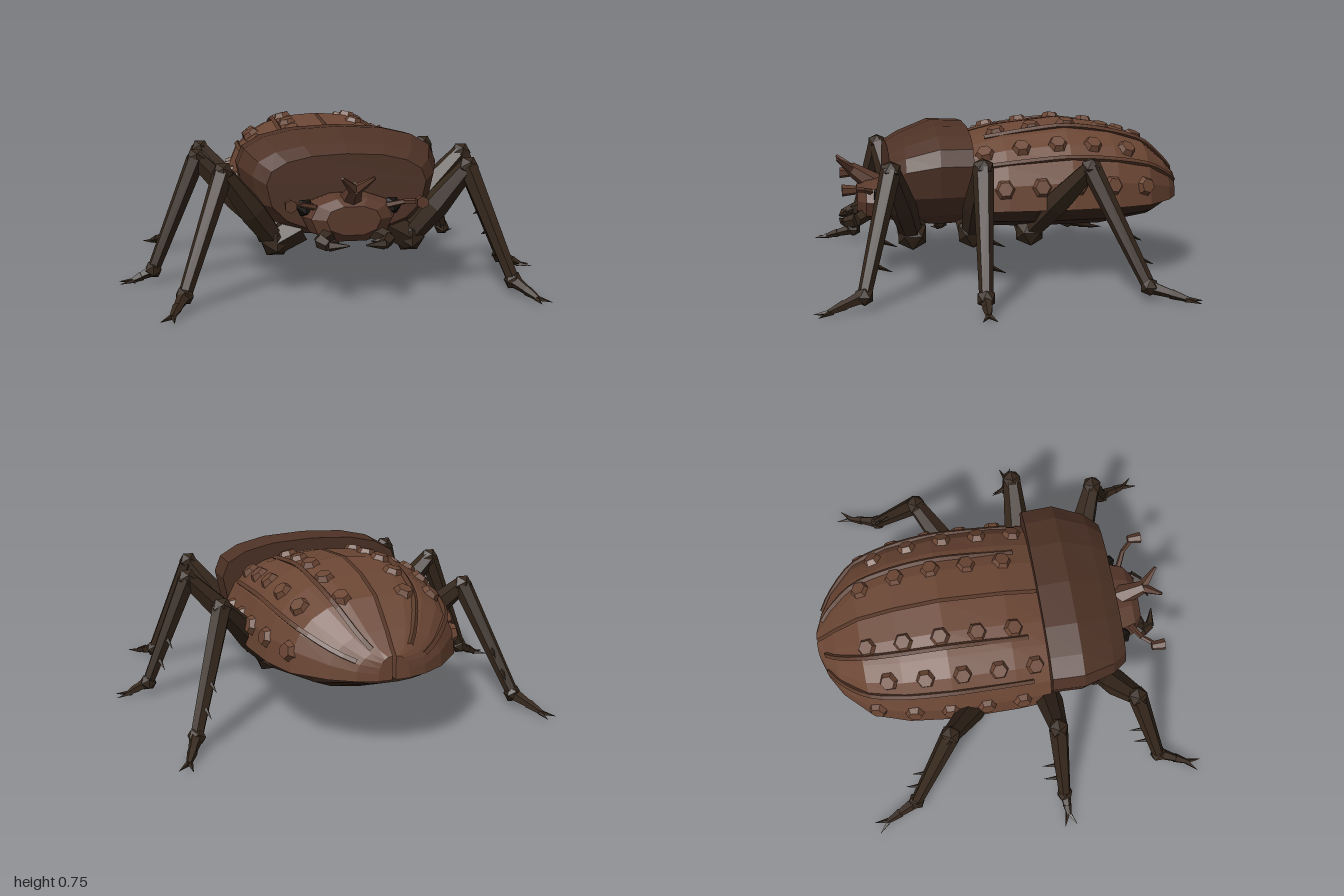
import * as THREE from 'three';

const V = (x, y, z) => new THREE.Vector3(x, y, z);
const mat = (color) => new THREE.MeshStandardMaterial({ color, flatShading: true, roughness: 0.8 });
const shellMat = mat(0x6b4634), ridgeMat = mat(0x5a3a2a), shieldMat = mat(0x4e3226);
const headMat = mat(0x5a3a2c), legMat = mat(0x35271c), bellyMat = mat(0x35231a), eyeMat = mat(0x15110f);

function add(parent, name, geometry, material) {
  const m = new THREE.Mesh(geometry, material);
  m.name = name;
  parent.add(m);
  return m;
}

// Closed solid through rings of points (counter-clockwise from the front, ordered front to back)
function loft(rings) {
  const n = rings[0].length, pos = rings.flat().flatMap((p) => [p.x, p.y, p.z]), idx = [];
  const last = (rings.length - 1) * n;
  for (let i = 0; i < rings.length - 1; i++) {
    for (let j = 0; j < n; j++) {
      const a = i * n + j, b = i * n + (j + 1) % n;
      idx.push(a, a + n, b, b, a + n, b + n);
    }
  }
  for (let j = 1; j < n - 1; j++) idx.push(0, j, j + 1, last, last + j + 1, last + j);
  let g = new THREE.BufferGeometry();
  g.setAttribute('position', new THREE.Float32BufferAttribute(pos, 3));
  g.setIndex(idx);
  g = g.toNonIndexed();
  g.computeVertexNormals();
  return g;
}

// Rounded ring: half width, top, bottom and height of the widest line
function ring([z, hw, top, bottom, mid], n, p = 0.85) {
  return Array.from({ length: n }, (_, i) => {
    const a = (i / n) * Math.PI * 2, c = Math.cos(a), s = Math.sin(a);
    const h = s > 0 ? top - mid : mid - bottom;
    return V(hw * Math.sign(c) * Math.abs(c) ** p, mid + h * Math.sign(s) * Math.abs(s) ** p, z);
  });
}

// Tapered bar between two points
function bar(parent, name, a, b, r0, r1, material, sides = 6) {
  const d = b.clone().sub(a);
  const m = add(parent, name, new THREE.CylinderGeometry(r1, r0, d.length(), sides), material);
  m.position.copy(a).addScaledVector(d, 0.5);
  m.quaternion.setFromUnitVectors(V(0, 1, 0), d.normalize());
  return m;
}

function knob(parent, name, p, r, material) {
  const m = add(parent, name, new THREE.IcosahedronGeometry(r, 0), material);
  m.position.copy(p);
  return m;
}

// Wing case stations: z, half width, top
const stations = [[0.18, 0.455, 0.665], [0.02, 0.465, 0.705], [-0.28, 0.465, 0.738], [-0.5, 0.44, 0.71],
  [-0.67, 0.385, 0.655], [-0.8, 0.26, 0.545], [-0.86, 0.16, 0.48], [-0.89, 0.07, 0.455]];

// Point on a wing case at angle t from the seam
function shellPoint(s, t, z) {
  let i = 0;
  while (i < stations.length - 2 && z < stations[i + 1][0]) i++;
  const [z0, w0, h0] = stations[i], [z1, w1, h1] = stations[i + 1], k = (z - z0) / (z1 - z0);
  const w = w0 + (w1 - w0) * k, h = h0 + (h1 - h0) * k - 0.35;
  return V(s * (0.008 + (w - 0.008) * Math.max(0, Math.sin(t)) ** 0.85),
    0.35 + h * Math.max(0, Math.cos(t)) ** 0.85, z);
}

function wingCase(s) {
  const g = new THREE.Group();
  g.name = s > 0 ? 'leftWingCase' : 'rightWingCase';
  const rings = stations.map(([z]) => {
    const r = [V(s * 0.008, 0.35, z)];
    for (let j = 6; j >= 0; j--) r.push(shellPoint(s, (j / 6) * Math.PI / 2, z));
    return s > 0 ? r : r.reverse();
  });
  add(g, 'shell', loft(rings), shellMat);
  // Lengthwise ridges
  for (const t of [0.414, 0.995]) {
    const path = new THREE.CatmullRomCurve3([0.1, -0.1, -0.28, -0.5, -0.67, -0.8, -0.85].map((z) => shellPoint(s, t, z)));
    add(g, 'ridge', new THREE.TubeGeometry(path, 18, 0.014, 4), ridgeMat);
  }
  // Three rows of six-sided bumps
  [[0.3, 0.04], [0.763, 0.115], [1.34, 0.04]].forEach(([t, z0]) => {
    for (let i = 0; i < 5; i++) {
      const z = z0 - i * 0.17, p = shellPoint(s, t, z);
      const along = shellPoint(s, t, z - 0.03).sub(shellPoint(s, t, z + 0.03));
      const across = shellPoint(s, t + 0.05, z).sub(shellPoint(s, t - 0.05, z));
      const normal = across.cross(along).multiplyScalar(-s).normalize();
      if (normal.dot(V(p.x, p.y - 0.35, 0)) < 0) normal.negate();
      const a = p.clone().addScaledVector(normal, -0.015), b = p.clone().addScaledVector(normal, 0.02);
      bar(g, 'bump', a, b, 0.052, 0.034, shellMat);
    }
  });
  return g;
}

// Leg layout: coxa z, knee, ankle, toe
const legs = {
  front: [0.45, [0.55, 0.56, 0.56], [0.73, 0.06, 0.69], [0.79, 0.012, 0.84]],
  middle: [0.17, [0.64, 0.575, 0.17], [0.85, 0.06, 0.19], [0.95, 0.012, 0.195]],
  rear: [-0.1, [0.59, 0.56, -0.32], [0.77, 0.06, -0.54], [0.84, 0.012, -0.7]],
};

function leg(s, name) {
  const [z, k, a, t] = legs[name];
  const g = new THREE.Group();
  g.name = (s > 0 ? 'left' : 'right') + name[0].toUpperCase() + name.slice(1) + 'Leg';
  const at = (p) => V(s * p[0], p[1], p[2]);
  const knee = at(k), ankle = at(a), toe = at(t), hip = V(s * 0.31, 0.23, z);
  bar(g, 'coxa', V(s * 0.2, 0.29, z), hip, 0.07, 0.065, legMat);
  knob(g, 'hip', hip, 0.075, legMat);
  const mid = hip.clone().lerp(knee, 0.45);
  bar(g, 'thigh', hip, mid, 0.05, 0.064, legMat);
  bar(g, 'thigh', mid, knee, 0.064, 0.042, legMat);
  knob(g, 'knee', knee, 0.05, legMat);
  bar(g, 'shin', knee, ankle, 0.046, 0.03, legMat);
  knob(g, 'ankle', ankle, 0.043, legMat);
  // Spines behind the shin
  for (const f of [0.55, 0.75]) {
    const p = knee.clone().lerp(ankle, f);
    bar(g, 'spine', p, p.clone().add(V(-s * 0.015, -0.04, -0.09)), 0.016, 0.001, legMat, 4);
  }
  // Foot and two claws
  const joint = ankle.clone().lerp(toe, 0.55);
  bar(g, 'foot', ankle, joint, 0.032, 0.02, legMat, 5);
  bar(g, 'foot', joint, toe, 0.024, 0.012, legMat, 5);
  const dir = toe.clone().sub(ankle).setY(0).normalize();
  for (const c of [-1, 1]) {
    const tip = toe.clone().addScaledVector(dir, 0.055).add(V(dir.z * c * 0.03, -0.008, -dir.x * c * 0.03));
    bar(g, 'claw', toe.clone().addScaledVector(dir, -0.015), tip, 0.014, 0.001, legMat, 4);
  }
  return g;
}

function head() {
  const g = new THREE.Group();
  g.name = 'head';
  const rings = [[0.69, 0.12, 0.42, 0.29, 0.36], [0.65, 0.18, 0.45, 0.255, 0.36],
    [0.57, 0.21, 0.465, 0.25, 0.36], [0.48, 0.2, 0.46, 0.26, 0.36]];
  add(g, 'skull', loft(rings.map((r) => ring(r, 10))), headMat);
  // Forked horn
  bar(g, 'horn', V(0, 0.42, 0.6), V(0, 0.505, 0.72), 0.055, 0.03, headMat);
  for (const s of [-1, 1]) {
    bar(g, 'hornProng', V(0, 0.49, 0.705), V(s * 0.07, 0.555, 0.78), 0.028, 0.008, headMat, 5);
    knob(g, 'eye', V(s * 0.195, 0.4, 0.58), 0.042, eyeMat);
    // Clubbed antenna
    const elbow = V(s * 0.23, 0.43, 0.665), club = V(s * 0.285, 0.44, 0.725);
    bar(g, 'antenna', V(s * 0.16, 0.41, 0.63), elbow, 0.015, 0.012, headMat, 5);
    bar(g, 'antenna', elbow, club, 0.012, 0.012, headMat, 5);
    bar(g, 'antennaClub', club.clone().add(V(0, 0, -0.025)), club.clone().add(V(0, 0, 0.04)), 0.02, 0.028, headMat);
    // Hooked jaw
    const jaw = [[0.09, 0.3, 0.64], [0.15, 0.275, 0.7], [0.12, 0.262, 0.75], [0.035, 0.265, 0.775]];
    const radii = [0.035, 0.032, 0.024, 0.003];
    for (let i = 0; i < 3; i++) {
      bar(g, 'jaw', V(s * jaw[i][0], jaw[i][1], jaw[i][2]), V(s * jaw[i + 1][0], jaw[i + 1][1], jaw[i + 1][2]),
        radii[i], radii[i + 1], legMat, 5);
    }
    bar(g, 'jawTooth', V(s * 0.14, 0.27, 0.72), V(s * 0.07, 0.27, 0.715), 0.018, 0.002, legMat, 4);
  }
  return g;
}

export function createModel() {
  const model = new THREE.Group();
  model.name = 'beetle';
  // Thorax shield
  const shield = [[0.55, 0.36, 0.63, 0.28, 0.5], [0.48, 0.415, 0.67, 0.25, 0.53], [0.33, 0.465, 0.73, 0.235, 0.56],
    [0.18, 0.46, 0.725, 0.24, 0.56]];
  add(model, 'thoraxShield', loft(shield.map((r) => ring(r, 16))), shieldMat);
  // Belly under the wing cases
  const belly = [[0.2, 0.4, 0.37, 0.24, 0.35], [-0.1, 0.44, 0.38, 0.228, 0.35], [-0.44, 0.42, 0.38, 0.23, 0.35],
    [-0.7, 0.31, 0.38, 0.262, 0.35], [-0.84, 0.14, 0.365, 0.32, 0.35]];
  add(model, 'belly', loft(belly.map((r) => ring(r, 14))), bellyMat);
  model.add(head());
  for (const s of [1, -1]) {
    model.add(wingCase(s));
    for (const name of Object.keys(legs)) model.add(leg(s, name));
  }
  return model;
}
